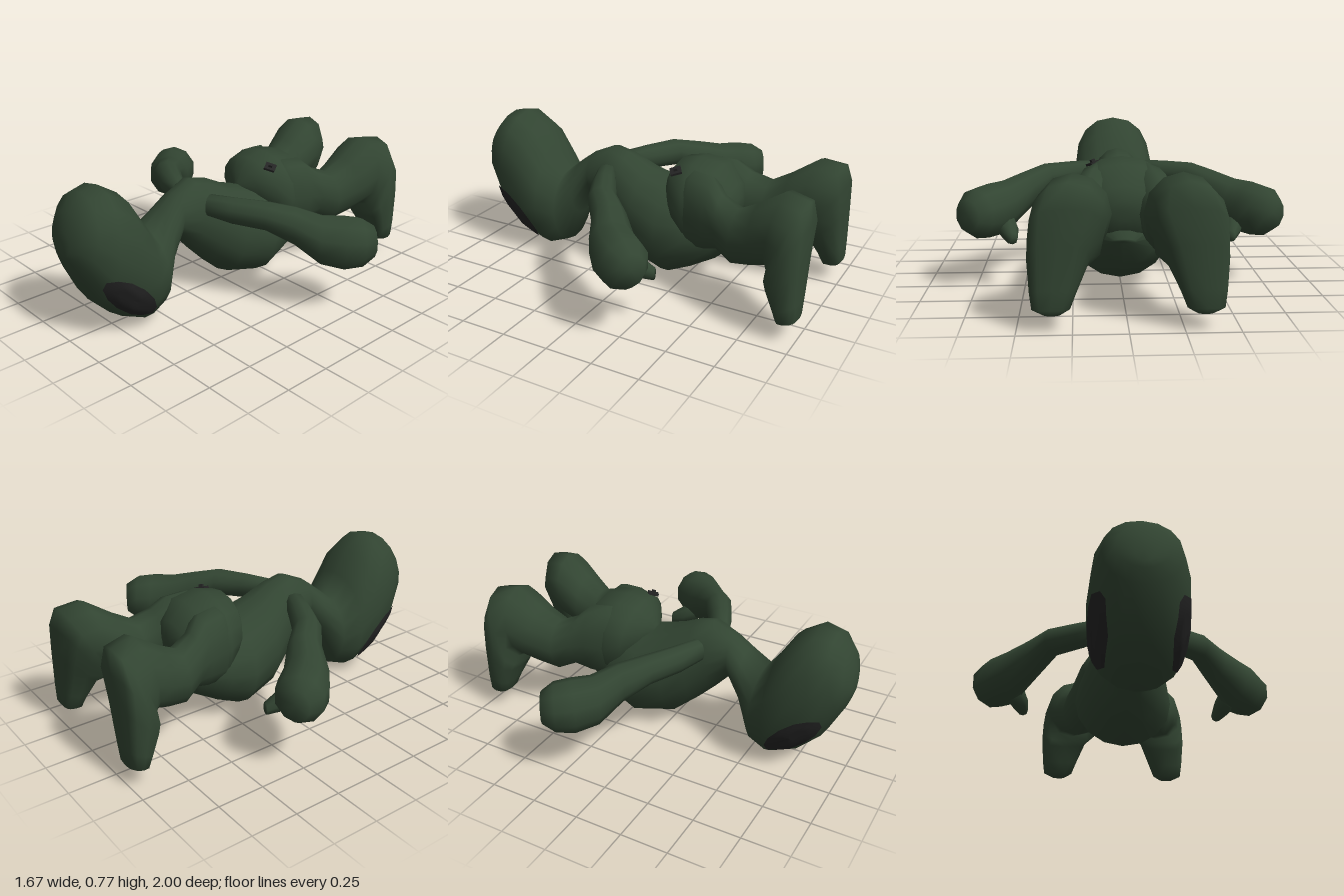
import * as THREE from 'three';

const skin = new THREE.MeshStandardMaterial({ color: 0x324532 });
skin.name = 'dark green skin';
const dark = new THREE.MeshStandardMaterial({ color: 0x242424, side: THREE.DoubleSide });
dark.name = 'charcoal';

// Smooth closed skin over rings { c: centre, u, v: half axes, p: 1 = ellipse, less = squarer }
function loft(name, rings, sides) {
  const pos = [], index = [], n = rings.length;
  const bend = (t, p) => Math.sign(t) * Math.abs(t) ** p;
  for (const { c, u, v, p } of rings) {
    for (let i = 0; i < sides; i++) {
      const a = (i / sides) * Math.PI * 2;
      pos.push(...c.clone().addScaledVector(u, bend(Math.cos(a), p))
        .addScaledVector(v, bend(Math.sin(a), p)).toArray());
    }
  }
  pos.push(...rings[0].c.toArray(), ...rings[n - 1].c.toArray());
  const first = n * sides, last = first + 1;
  for (let i = 0; i < sides; i++) {
    const j = (i + 1) % sides, e = (n - 1) * sides;
    for (let r = 0; r < n - 1; r++) {
      const a = r * sides + i, b = r * sides + j;
      index.push(a, b, b + sides, a, b + sides, a + sides);
    }
    index.push(first, j, i, last, e + i, e + j);
  }
  // Turn the faces outward if the enclosed volume is negative
  const at = (k) => new THREE.Vector3().fromArray(pos, k * 3);
  let volume = 0;
  for (let k = 0; k < index.length; k += 3) {
    volume += at(index[k]).dot(at(index[k + 1]).cross(at(index[k + 2])));
  }
  if (volume < 0) index.reverse();
  const mesh = new THREE.Mesh(surface(pos, index), skin);
  mesh.name = name;
  return mesh;
}

function surface(pos, index) {
  const geo = new THREE.BufferGeometry();
  geo.setAttribute('position', new THREE.Float32BufferAttribute(pos, 3));
  geo.setIndex(index);
  geo.computeVertexNormals();
  return geo;
}

// Ring from its upper and lower points in side profile and its x range
function profileRing([ay, az, by, bz, x0, x1, p = 1]) {
  const a = new THREE.Vector3(0, ay, az), b = new THREE.Vector3(0, by, bz);
  const c = a.clone().add(b).multiplyScalar(0.5);
  c.x = (x0 + x1) / 2;
  return { c, u: a.sub(b).multiplyScalar(0.5), v: new THREE.Vector3((x1 - x0) / 2, 0, 0), p };
}

// Upright rings along a path of [x, y, z, half width, half height, squareness]
function pathRings(points, side) {
  const at = points.map(([x, y, z]) => new THREE.Vector3(x * side, y, z));
  return points.map(([, , , w, h, p = 1], i) => {
    const t = at[Math.min(i + 1, at.length - 1)].clone().sub(at[Math.max(i - 1, 0)]);
    const v = new THREE.Vector3(t.z, 0, -t.x).normalize().multiplyScalar(w);
    return { c: at[i], u: new THREE.Vector3(0, h, 0), v, p };
  });
}

// upper y, upper z, lower y, lower z, half width, squareness
const BODY = [
  [0.31, -0.53, 0.28, -0.5, 0.06],
  [0.45, -0.45, 0.15, -0.43, 0.17],
  [0.5, -0.3, 0.075, -0.3, 0.24],
  [0.52, -0.15, 0.015, -0.17, 0.265],
  [0.57, 0, 0.065, 0.03, 0.22],
  [0.63, 0.12, 0.16, 0.14, 0.17],
  [0.655, 0.22, 0.26, 0.24, 0.14],
  [0.6, 0.34, 0.37, 0.34, 0.105],
  [0.54, 0.42, 0.22, 0.43, 0.135],
  [0.46, 0.52, 0.04, 0.5, 0.195],
  [0.57, 0.6, 0, 0.61, 0.24, 0.95],
  [0.7, 0.68, 0.07, 0.76, 0.246, 0.9],
  [0.77, 0.79, 0.19, 0.88, 0.232, 0.9],
  [0.755, 0.88, 0.36, 0.965, 0.19, 0.95],
  [0.68, 0.95, 0.43, 0.99, 0.13],
  [0.58, 0.985, 0.46, 0.998, 0.05],
];

const PELVIS = [
  [0.54, -0.12, 0.46, -0.13, 0.04],
  [0.6, -0.15, 0.38, -0.19, 0.13],
  [0.665, -0.2, 0.3, -0.25, 0.22],
  [0.685, -0.3, 0.22, -0.31, 0.247, 0.9],
  [0.665, -0.43, 0.22, -0.42, 0.24, 0.9],
  [0.57, -0.51, 0.32, -0.5, 0.15],
  [0.5, -0.53, 0.4, -0.52, 0.06],
];

// upper y, upper z, lower y, lower z, inner x, outer x, squareness
const LEG = [
  [0.62, -0.22, 0.3, -0.24, 0.03, 0.2],
  [0.655, -0.33, 0.24, -0.33, 0.0, 0.248, 0.95],
  [0.645, -0.44, 0.25, -0.43, 0.02, 0.268],
  [0.58, -0.51, 0.29, -0.51, 0.075, 0.29],
  [0.54, -0.61, 0.25, -0.6, 0.088, 0.33],
  [0.6, -0.72, 0.28, -0.72, 0.08, 0.375],
  [0.695, -0.86, 0.31, -0.8, 0.07, 0.415],
  [0.675, -0.985, 0.3, -0.805, 0.09, 0.435],
  [0.56, -1, 0.27, -0.815, 0.11, 0.445, 0.6],
  [0.4, -1, 0.24, -0.83, 0.17, 0.45, 0.65],
  [0.2, -1, 0.15, -0.87, 0.23, 0.44, 0.7],
  [0.11, -1, 0.09, -0.89, 0.26, 0.43, 0.8],
  [0.08, -0.98, 0.075, -0.92, 0.3, 0.38],
];

const ARM = [
  [0.125, 0.535, 0.195, 0.05, 0.055, 0.8],
  [0.25, 0.525, 0.135, 0.065, 0.07],
  [0.4, 0.52, 0.05, 0.075, 0.075],
  [0.5, 0.47, -0.05, 0.09, 0.1],
  [0.61, 0.405, -0.13, 0.115, 0.13],
  [0.685, 0.39, -0.21, 0.13, 0.142],
  [0.74, 0.39, -0.28, 0.125, 0.128],
  [0.775, 0.39, -0.335, 0.075, 0.085],
];

const THUMB = [
  [0.61, 0.34, -0.19, 0.06, 0.07],
  [0.575, 0.3, -0.265, 0.05, 0.055],
  [0.555, 0.272, -0.335, 0.028, 0.03, 0.8],
];

// Thin almond patch laid on the side of the head
function eye(body, side) {
  const ray = new THREE.Raycaster(), segs = 12, loops = 4;
  const pos = [], index = [];
  for (let r = 0; r <= loops; r++) {
    for (let i = 0; i < segs; i++) {
      const a = (i / segs) * Math.PI * 2;
      const l = 0.187 * Math.cos(a) * (r / loops), s = 0.072 * Math.sin(a) * (r / loops);
      const z = 0.757 + (l + s) * Math.SQRT1_2, y = 0.228 + (l - s) * Math.SQRT1_2;
      ray.set(new THREE.Vector3(side, y, z), new THREE.Vector3(-side, 0, 0));
      const hit = ray.intersectObject(body)[0];
      const x = hit ? Math.abs(hit.point.x) : 0.1;
      pos.push(side * (x + 0.009), y - 0.003, z + 0.003);
      if (r < loops) {
        const p = r * segs + i, q = r * segs + ((i + 1) % segs);
        if (side > 0) index.push(p, p + segs, q + segs, p, q + segs, q);
        else index.push(p, q + segs, p + segs, p, q, q + segs);
      }
    }
  }
  const mesh = new THREE.Mesh(surface(pos, index), dark);
  mesh.name = side > 0 ? 'leftEye' : 'rightEye';
  return mesh;
}

export function createModel() {
  const group = new THREE.Group();
  group.name = 'crawlingCreature';
  const symmetric = ([a, b, c, d, w, p]) => profileRing([a, b, c, d, -w, w, p]);

  // Torso, neck and head in one skin, with the pelvis overlapping it
  const body = loft('headAndTorso', BODY.map(symmetric), 16);
  group.add(body, loft('pelvis', PELVIS.map(symmetric), 16));

  // Mirrored limbs and eyes
  for (const side of [1, -1]) {
    const label = side > 0 ? 'left' : 'right';
    const leg = LEG.map(([a, b, c, d, x0, x1, p]) => profileRing([a, b, c, d, side * x0, side * x1, p]));
    group.add(
      loft(label + 'Leg', leg, 12),
      loft(label + 'Arm', pathRings(ARM, side), 10),
      loft(label + 'Thumb', pathRings(THUMB, side), 8),
      eye(body, side),
    );
  }

  // Small stud on the left hip
  const stud = new THREE.Group();
  stud.name = 'hipStud';
  const plate = new THREE.Mesh(new THREE.BoxGeometry(0.058, 0.012, 0.058), dark);
  plate.name = 'studPlate';
  plate.position.y = 0.018;
  const pin = new THREE.Mesh(new THREE.BoxGeometry(0.02, 0.075, 0.02), dark);
  pin.name = 'studPin';
  stud.add(plate, pin);
  stud.position.set(0.135, 0.622, -0.23);
  stud.rotation.set(0.3, 0.5, -0.4);
  group.add(stud);

  return group;
}
